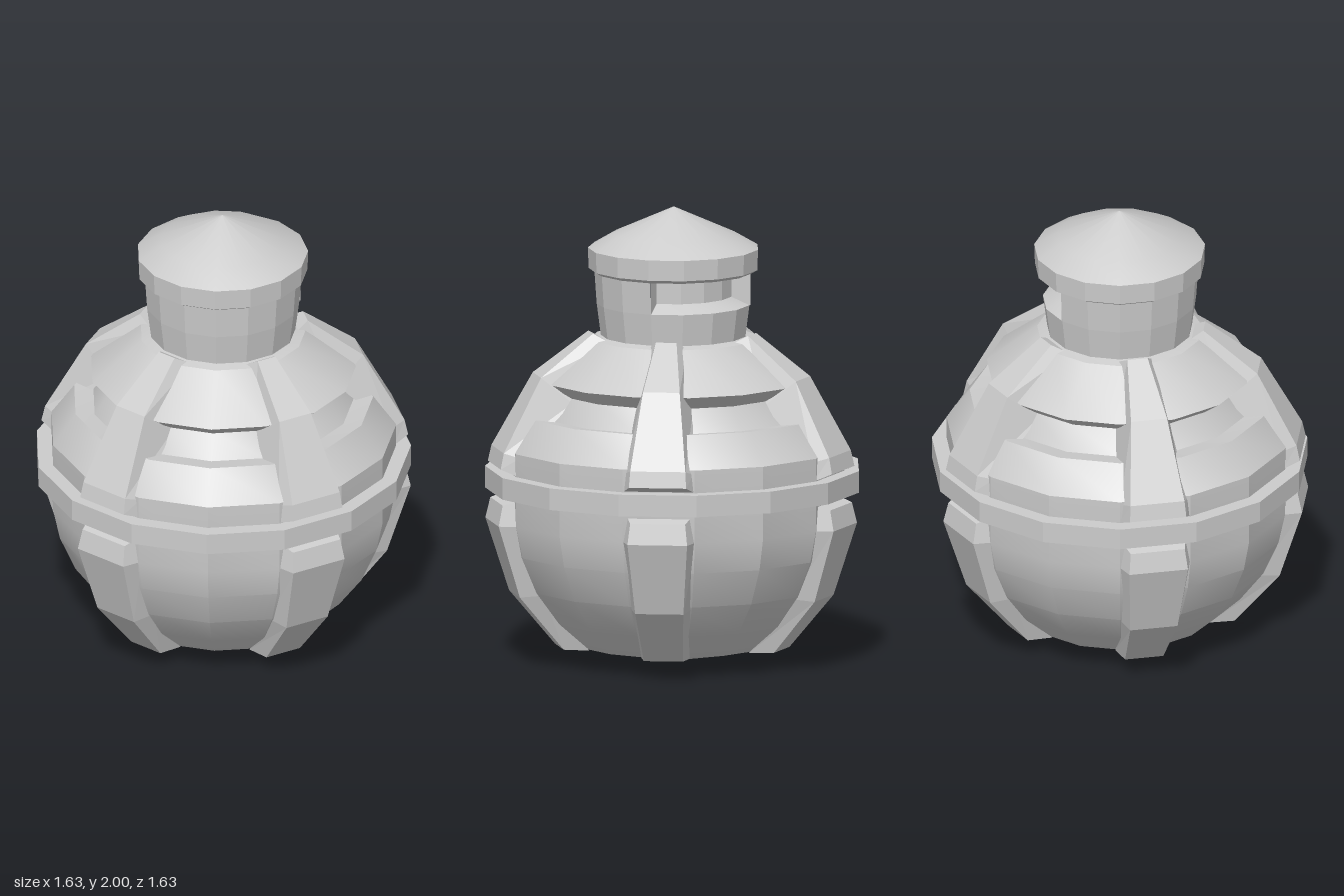
import * as THREE from 'three';
import { toCreasedNormals } from 'three/addons/utils/BufferGeometryUtils.js';

const SIDES = 15;
const STEP = (Math.PI * 2) / SIDES;
const START = STEP / 2; // a flat facet faces the front
const material = new THREE.MeshStandardMaterial({ color: 0xcccccc });
const thin = new THREE.MeshStandardMaterial({ color: 0xcccccc, side: THREE.DoubleSide });

// Turned part; first and count choose the facets it covers
function turned(name, profile, first = 0, count = SIDES) {
  const points = profile.map(([r, y]) => new THREE.Vector2(r, y));
  const lathe = new THREE.LatheGeometry(points, count, START + first * STEP, count * STEP);
  const mesh = new THREE.Mesh(toCreasedNormals(lathe, 0.4), material);
  mesh.name = name;
  return mesh;
}

// Rib with a trapezoid section; each row is
// [outer y, outer radius, outer half width, inner y, inner radius, inner half width]
function ribGeometry(rows) {
  const loops = rows.map(([yo, ro, wo, yi, ri, wi]) => [
    [-wo, yo, ro], [wo, yo, ro], [wi, yi, ri], [-wi, yi, ri],
  ]);
  const positions = [];
  const quad = (a, b, c, d) => positions.push(...a, ...b, ...c, ...a, ...c, ...d);
  for (let i = 0; i < loops.length - 1; i++) {
    for (let k = 0; k < 4; k++) {
      const n = (k + 1) % 4;
      quad(loops[i][k], loops[i][n], loops[i + 1][n], loops[i + 1][k]);
    }
  }
  const [a, b, c, d] = loops[0];
  quad(a, d, c, b);
  quad(...loops[loops.length - 1]);
  const geometry = new THREE.BufferGeometry();
  geometry.setAttribute('position', new THREE.Float32BufferAttribute(positions, 3));
  geometry.computeVertexNormals();
  return geometry;
}

export function createModel() {
  const model = new THREE.Group();
  model.name = 'ribbedCanister';

  // Round body: bowl, straight band, recessed slot and shoulder
  model.add(turned('body', [
    [0, 0], [0.42, 0.08], [0.55, 0.2], [0.655, 0.34], [0.725, 0.5], [0.755, 0.64],
    [0.755, 0.96], [0.655, 1.1], [0.57, 1.09], [0.5, 1.19], [0.58, 1.25],
    [0.36, 1.425], [0.3, 1.44],
  ]));
  model.add(turned('beltRing', [[0.74, 0.76], [0.82, 0.765], [0.82, 0.86], [0.74, 0.86]]));

  // Neck with a notch cut through four facets of its left side
  model.add(turned('neckBase', [[0.315, 1.42], [0.335, 1.575], [0.255, 1.61]]));
  model.add(turned('neckWall', [[0.335, 1.575], [0.345, 1.72]], 6, SIDES - 4));
  model.add(turned('notchWall', [[0.255, 1.6], [0.255, 1.72]], 2, 4));
  for (const edge of [2, 6]) {
    const end = new THREE.Mesh(new THREE.PlaneGeometry(0.085, 0.14).translate(0.2965, 1.645, 0), thin);
    end.name = 'notchEnd';
    end.rotation.y = START + edge * STEP - Math.PI / 2;
    model.add(end);
  }
  model.add(turned('cap', [
    [0.24, 1.71], [0.345, 1.715], [0.37, 1.73], [0.373, 1.82], [0.27, 1.88], [0, 2],
  ]));

  // Five ribs above and below the belt
  const upperRib = ribGeometry([
    [0.89, 0.8, 0.125, 0.86, 0.73, 0.155],
    [0.96, 0.785, 0.12, 0.94, 0.72, 0.15],
    [1.28, 0.61, 0.08, 1.17, 0.48, 0.125],
    [1.46, 0.37, 0.045, 1.42, 0.3, 0.085],
  ]);
  const lowerRib = ribGeometry([
    [0.08, 0.51, 0.085, 0.075, 0.4, 0.105],
    [0.32, 0.71, 0.105, 0.33, 0.61, 0.135],
    [0.64, 0.81, 0.13, 0.64, 0.72, 0.16],
    [0.73, 0.79, 0.12, 0.75, 0.72, 0.14],
  ]);
  for (let i = 0; i < 5; i++) {
    for (const [name, geometry] of [['upperRib', upperRib], ['lowerRib', lowerRib]]) {
      const rib = new THREE.Mesh(geometry, material);
      rib.name = name;
      rib.rotation.y = (i * Math.PI * 2) / 5;
      model.add(rib);
    }
  }
  return model;
}
